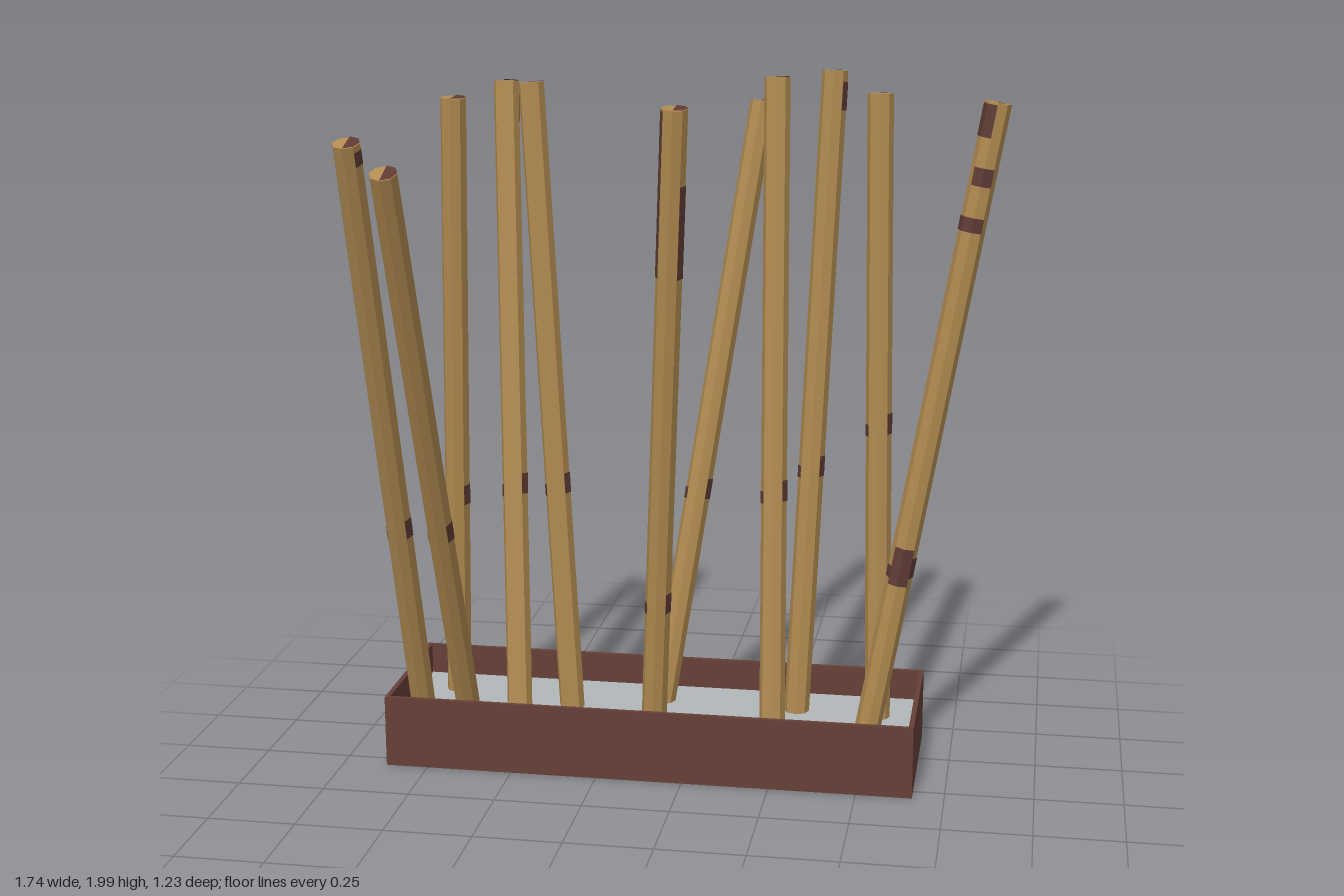
import * as THREE from 'three';

const mat = (name, color, extra = {}) => Object.assign(new THREE.MeshStandardMaterial({ color, ...extra }), { name });

const R = 0.037;          // stalk radius
const SIDES = 8;
const STEP = (Math.PI * 2) / SIDES;
const GRAVEL = 0.12;      // gravel height
const END = 0.015;        // height of the buried stalk ends

// Stalks from right to left: upper end x, y, z, then x, z at the gravel, then node height
const STALKS = [
  [-0.795, 1.865, 0.46, -0.795, -0.095, 0.75],
  [-0.665, 1.805, 0.575, -0.675, -0.15, 0.75],
  [-0.685, 1.92, -0.185, -0.74, -0.295, 0.75],
  [-0.59, 1.945, -0.425, -0.5, -0.08, 0.8],
  [-0.487, 1.955, -0.3, -0.37, -0.205, 0.8],
  [-0.015, 1.925, 0.06, -0.11, -0.135, 0.5],
  [0.14, 1.885, -0.58, -0.11, -0.295, 0.76],
  [0.21, 1.975, -0.345, 0.245, -0.085, 0.82],
  [0.365, 1.99, -0.42, 0.295, -0.275, 0.86],
  [0.5, 1.935, -0.345, 0.535, -0.265, 1.0],
  [0.83, 1.93, -0.185, 0.515, -0.115, 0.63],
];

// Extra bark: stalk index, height, length, first side (counted from the front to the left), number of sides
const BARK = [
  [0, 1.83, 0.04, 1, 2],
  [3, 1.88, 0.1, 2, 1],
  [5, 1.69, 0.46, 5, 2],
  [5, 1.59, 0.26, 1, 3],
  [8, 1.92, 0.08, 1, 1],
  [10, 0.63, 0.11, 7, 2],
  [10, 1.6, 0.04, 6, 3],
  [10, 1.73, 0.05, 7, 2],
  [10, 1.88, 0.09, 5, 3],
];

function makeStalk([tx, ty, tz, fx, fz, node], index, cane, bark) {
  const stalk = new THREE.Group();
  stalk.name = 'stalk';
  const top = new THREE.Vector3(tx, ty, tz);
  const dir = top.clone().sub(new THREE.Vector3(fx, GRAVEL, fz)).normalize();
  const length = (ty - END) / dir.y;
  stalk.position.copy(top).addScaledVector(dir, -length);
  stalk.quaternion.setFromUnitVectors(new THREE.Vector3(0, 1, 0), dir);

  const add = (name, geometry, material, y) => {
    const mesh = new THREE.Mesh(geometry, material);
    mesh.name = name;
    mesh.position.y = y;
    stalk.add(mesh);
  };
  add('cane', new THREE.CylinderGeometry(R, R, length, SIDES), cane, length / 2);

  // Bark remnants wrapped around a few sides
  const addBark = (y, len, first, count) => {
    const strip = new THREE.CylinderGeometry(R + 0.0015, R + 0.0015, len, count, 1, true, first * STEP, count * STEP);
    add('barkPatch', strip, bark, Math.min((y - END) / dir.y, length - len / 2));
  };
  addBark(node, 0.06, 1, 4);
  addBark(node - 0.02, 0.035, 6, 1);
  for (const [owner, ...patch] of BARK) if (owner === index) addBark(...patch);

  // Dark part of the cut end, small on the two leftmost stalks
  const count = index > 8 ? 1 : 4;
  const end = new THREE.CircleGeometry(R, count, -Math.PI / 2, count * STEP);
  end.rotateX(-Math.PI / 2);
  add('darkCutEnd', end, bark, length + 0.002);
  return stalk;
}

export function createModel() {
  const model = new THREE.Group();
  model.name = 'bambooPlanter';
  const cane = mat('cane tan', 0xb08a50, { flatShading: true });
  const bark = mat('bark brown', 0x5e3a34, { flatShading: true, side: THREE.DoubleSide });
  const wood = mat('planter brown', 0x653f37);
  const stone = mat('gravel grey', 0xb2b7ba);

  // Planter box: four walls, a floor and the gravel bed
  const [x0, x1, z0, z1, h, w] = [-0.872, 0.66, -0.432, 0.05, 0.21, 0.014];
  const cx = (x0 + x1) / 2, cz = (z0 + z1) / 2, lx = x1 - x0, lz = z1 - z0;
  const box = (name, sx, sy, sz, x, y, z, material) => {
    const mesh = new THREE.Mesh(new THREE.BoxGeometry(sx, sy, sz), material);
    mesh.name = name;
    mesh.position.set(x, y, z);
    model.add(mesh);
  };
  box('frontWall', lx, h, w, cx, h / 2, z1 - w / 2, wood);
  box('backWall', lx, h, w, cx, h / 2, z0 + w / 2, wood);
  box('leftWall', w, h, lz - 2 * w, x1 - w / 2, h / 2, cz, wood);
  box('rightWall', w, h, lz - 2 * w, x0 + w / 2, h / 2, cz, wood);
  box('floor', lx - 2 * w, 0.02, lz - 2 * w, cx, 0.01, cz, wood);
  box('gravel', lx - 2 * w, GRAVEL - 0.02, lz - 2 * w, cx, (GRAVEL + 0.02) / 2, cz, stone);

  STALKS.forEach((s, i) => model.add(makeStalk(s, i, cane, bark)));
  return model;
}
